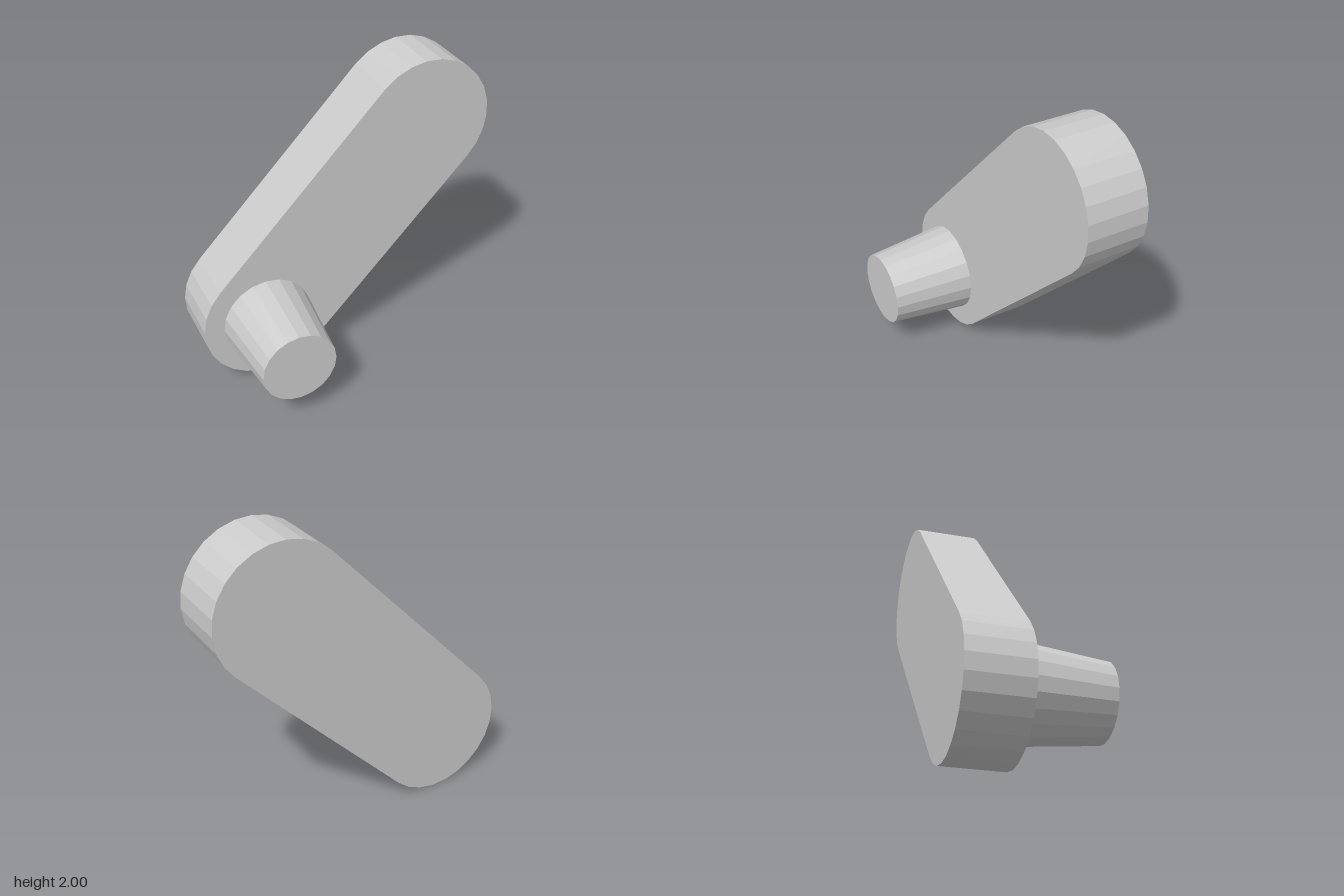
import * as THREE from 'three';

export function createModel() {
  const group = new THREE.Group();
  const material = new THREE.MeshStandardMaterial({ color: 0xcccccc, flatShading: true });

  const radius = 0.43, endX = 0.557, lowY = 0.43, highY = 1.57;
  const backZ = -0.46, faceZ = -0.065, tipZ = 0.46;

  // Slanted arm: a flat bar with two faceted round ends
  const outline = [];
  const steps = 13;
  for (const [x, y, start] of [[endX, highY, -Math.PI / 4], [-endX, lowY, Math.PI * 0.75]]) {
    for (let i = 0; i <= steps; i++) {
      const a = start + (Math.PI * i) / steps;
      outline.push(new THREE.Vector2(x + radius * Math.cos(a), y + radius * Math.sin(a)));
    }
  }
  const armGeometry = new THREE.ExtrudeGeometry(new THREE.Shape(outline), {
    depth: faceZ - backZ,
    bevelEnabled: false,
  });
  const arm = new THREE.Mesh(armGeometry, material);
  arm.name = 'arm';
  arm.position.z = backZ;
  group.add(arm);

  // Tapered peg standing out of the arm's lower end
  const pegGeometry = new THREE.CylinderGeometry(0.24, 0.294, tipZ - faceZ, 20);
  pegGeometry.rotateX(Math.PI / 2);
  const peg = new THREE.Mesh(pegGeometry, material);
  peg.name = 'peg';
  peg.position.set(-0.563, lowY, (tipZ + faceZ) / 2);
  group.add(peg);

  return group;
}
